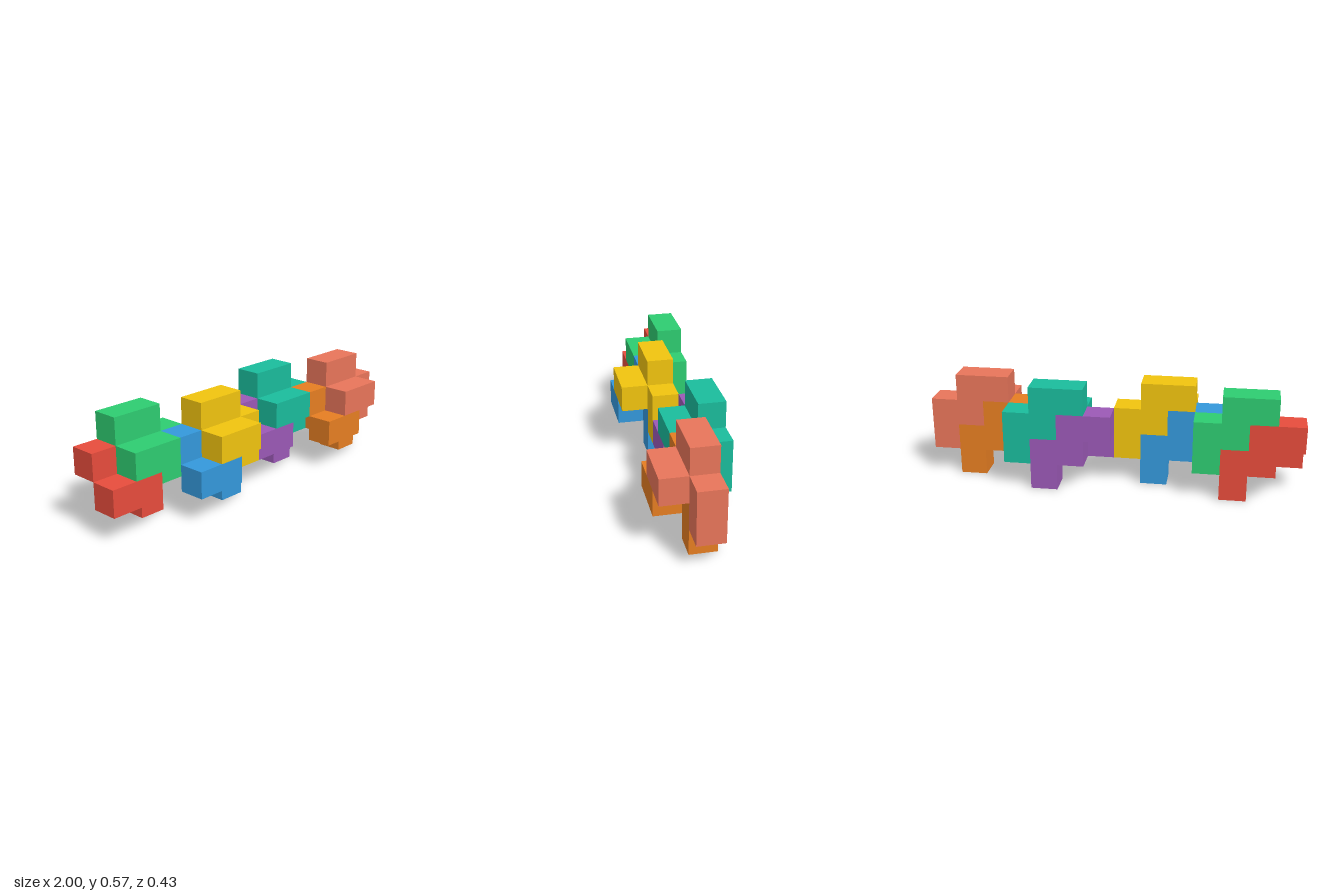
import * as THREE from 'three';

const U = 1 / 7; // edge of one unit cube

// Staircase of five cubes, one cube thick
function stairGeometry() {
  const outline = [[0, 2], [1, 2], [1, 1], [2, 1], [2, 0], [3, 0], [3, 2], [2, 2], [2, 3], [0, 3]];
  const shape = new THREE.Shape(outline.map(([x, y]) => new THREE.Vector2(x * U, y * U)));
  return new THREE.ExtrudeGeometry(shape, { depth: U, bevelEnabled: false });
}

// Two-cube bar attached to the front of the staircase
function barGeometry() {
  return new THREE.BoxGeometry(2 * U, U, U).translate(U, 1.5 * U, 1.5 * U);
}

export function createModel() {
  const model = new THREE.Group();
  model.name = 'interlockingBlocks';
  const stair = stairGeometry();
  const bar = barGeometry();

  // Lower and upper block colours of each interlocked pair
  const pairs = [
    [['red', 0xe74c3c], ['green', 0x2ecc71]],
    [['blue', 0x3498db], ['yellow', 0xf1c40f]],
    [['purple', 0x9b59b6], ['teal', 0x1abc9c]],
    [['orange', 0xe67e22], ['coral', 0xe8755a]],
  ];
  const pairStart = [0, 3, 7, 10];

  pairs.forEach((pair, i) => {
    pair.forEach(([name, color], level) => {
      const block = new THREE.Group();
      block.name = `${name}Block`;
      const material = new THREE.MeshStandardMaterial({ color, flatShading: true });
      for (const [part, geometry] of [['Stair', stair], ['Bar', bar]]) {
        const mesh = new THREE.Mesh(geometry, material);
        mesh.name = name + part;
        block.add(mesh);
      }
      // The upper block sits one cube up and across; alternate pairs step forward
      block.position.set((pairStart[i] + level - 7) * U, level * U, (i % 2 - 1.5) * U);
      model.add(block);
    });
  });
  return model;
}
